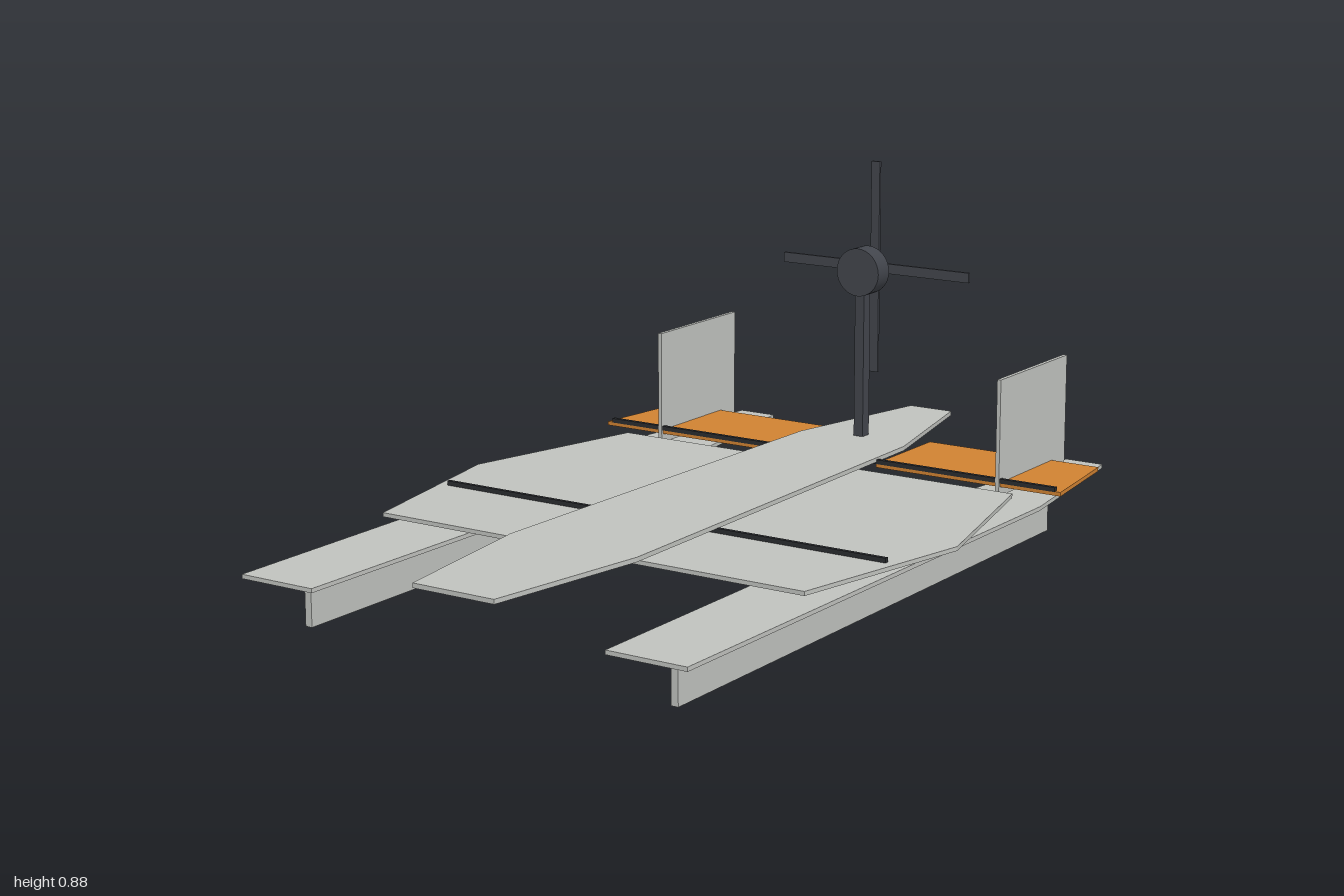
import * as THREE from 'three';

const mat = (name, color) => {
  const m = new THREE.MeshStandardMaterial({ color });
  m.name = name;
  return m;
};

export function createModel() {
  const model = new THREE.Group();
  model.name = 'airboat';
  const grey = mat('light grey', 0xc0c2be);
  const orange = mat('orange', 0xd08232);
  const dark = mat('dark grey', 0x42454c);
  const black = mat('black', 0x2a2c2f);

  const add = (name, geometry, material, x = 0, y = 0, z = 0) => {
    const mesh = new THREE.Mesh(geometry, material);
    mesh.name = name;
    mesh.position.set(x, y, z);
    model.add(mesh);
    return mesh;
  };
  // box given by its lower and upper limits on each axis
  const box = (name, material, [x0, x1], [y0, y1], [z0, z1]) =>
    add(name, new THREE.BoxGeometry(x1 - x0, y1 - y0, z1 - z0), material,
      (x0 + x1) / 2, (y0 + y1) / 2, (z0 + z1) / 2);
  // flat plate from an outline of [x, z] points, between two heights
  const plate = (name, material, points, bottom, top, x = 0) => {
    const shape = new THREE.Shape(points.map(([px, pz]) => new THREE.Vector2(px, pz)));
    const geometry = new THREE.ExtrudeGeometry(shape, { depth: top - bottom, bevelEnabled: false });
    geometry.rotateX(Math.PI / 2);
    return add(name, geometry, material, x, top, 0);
  };
  // closes a half outline by mirroring it in x
  const mirrored = (half) => [...half, ...half.map(([x, z]) => [-x, z]).reverse()];

  // hull deck and wing
  plate('fuselage', grey, mirrored([[0.06, -1], [0.15, -0.6], [0.172, 0.58], [0.108, 1]]), 0.177, 0.188);
  plate('wing', grey, mirrored([[0.555, -0.412], [0.67, 0.06], [0.572, 0.54]]), 0.157, 0.167);
  box('frontSpar', black, [-0.605, 0.605], [0.167, 0.178], [0.252, 0.262]);
  box('rearSpar', black, [-0.64, 0.64], [0.172, 0.183], [-0.474, -0.463]);

  // floats, keels, tailplanes and fins on both sides
  for (const [side, s] of [['left', 1], ['right', -1]]) {
    const cx = s * 0.488;
    plate(side + 'Float', grey,
      mirrored([[0.05, -0.92], [0.111, -0.47], [0.1, 1]]), 0.119, 0.129, cx);
    box(side + 'Keel', grey, [cx - 0.009, cx + 0.009], [0, 0.117], [-0.71, 0.9]);
    plate(side + 'Tailplane', orange,
      [[0.15, -0.732], [0.62, -0.732], [0.655, -0.465], [0.15, -0.465]].map(([x, z]) => [s * x, z]),
      0.163, 0.173);
    box(side + 'Fin', grey, [cx - 0.005, cx + 0.005], [0.14, 0.425], [-0.8, -0.46]);
  }

  // motor mast, motor and propeller
  box('mast', dark, [-0.013, 0.013], [0.185, 0.6], [-0.66, -0.63]);
  const motor = new THREE.CylinderGeometry(0.06, 0.06, 0.052, 32);
  motor.rotateX(Math.PI / 2);
  add('motor', motor, dark, 0, 0.608, -0.645);
  box('horizontalBlade', dark, [-0.268, 0.268], [0.596, 0.621], [-0.709, -0.701]);
  box('verticalBlade', dark, [-0.012, 0.012], [0.341, 0.876], [-0.7085, -0.7015]);

  return model;
}
